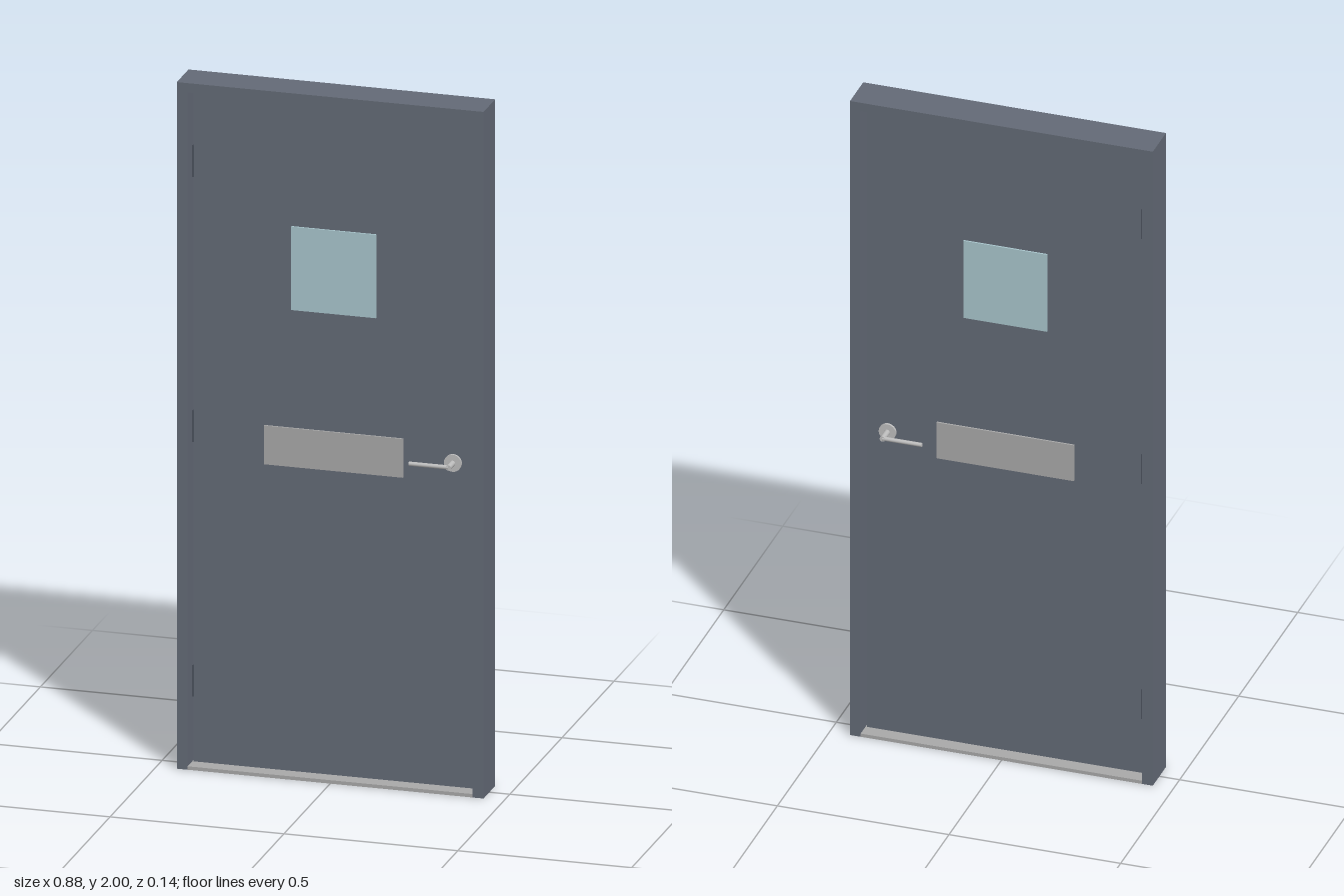
import * as THREE from 'three';

const paint = (name, color) => {
  const m = new THREE.MeshStandardMaterial({ color });
  m.name = name;
  return m;
};

export function createModel() {
  const steel = paint('slate paint', 0x636a76);
  const dark = paint('dark hinge metal', 0x343a45);
  const glass = paint('pale blue glass', 0xa8c5cc);
  const plateGrey = paint('plate grey', 0xa8a8a8);
  const silver = paint('silver', 0xbdbdbd);

  const door = new THREE.Group();
  door.name = 'door';

  const add = (name, geometry, material, x, y, z, parent = door) => {
    const mesh = new THREE.Mesh(geometry, material);
    mesh.name = name;
    mesh.position.set(x, y, z);
    parent.add(mesh);
    return mesh;
  };
  // Box given by its limits in x and y, centred depth
  const slab = (name, material, x0, x1, y0, y1, depth, z = 0) =>
    add(name, new THREE.BoxGeometry(x1 - x0, y1 - y0, depth), material, (x0 + x1) / 2, (y0 + y1) / 2, z);

  // Frame: an upside-down U, open at the floor
  const W = 0.441, IN = 0.41, H = 2, HEAD = 1.973, DEPTH = 0.112;
  const outline = new THREE.Shape([
    [-W, 0], [-IN, 0], [-IN, HEAD], [IN, HEAD], [IN, 0], [W, 0], [W, H], [-W, H],
  ].map(([x, y]) => new THREE.Vector2(x, y)));
  add('frame', new THREE.ExtrudeGeometry(outline, { depth: DEPTH, bevelEnabled: false }), steel, 0, 0, -DEPTH / 2);
  slab('threshold', plateGrey, -IN, IN, 0, 0.01, DEPTH);

  // Leaf, with window and plate standing slightly proud on both faces
  slab('leaf', steel, -0.404, 0.404, 0.013, 1.965, 0.038);
  slab('window', glass, -0.122, 0.122, 1.357, 1.6, 0.048);
  slab('letterPlate', plateGrey, -0.2, 0.2, 0.9, 1.013, 0.048);

  // Hinges in the gap, reaching out on the back side
  for (const y of [0.243, 0.985, 1.757]) {
    slab('hinge', dark, -0.411, -0.403, y - 0.046, y + 0.046, 0.05, -0.018);
  }

  // Lever handles on both faces
  for (const side of [1, -1]) {
    const handle = new THREE.Group();
    handle.name = side > 0 ? 'frontHandle' : 'backHandle';
    handle.position.set(0.343, 0.957, 0);
    const rose = add('rose', new THREE.CylinderGeometry(0.025, 0.025, 0.008, 24), silver, 0, 0, side * 0.022, handle);
    const spindle = add('spindle', new THREE.CylinderGeometry(0.008, 0.008, 0.05, 16), silver, 0, 0, side * 0.0425, handle);
    rose.rotation.x = spindle.rotation.x = Math.PI / 2;
    const lever = add('lever', new THREE.CylinderGeometry(0.006, 0.006, 0.114, 16), silver, -0.057, 0, side * 0.063, handle);
    lever.rotation.z = Math.PI / 2;
    door.add(handle);
  }

  return door;
}
